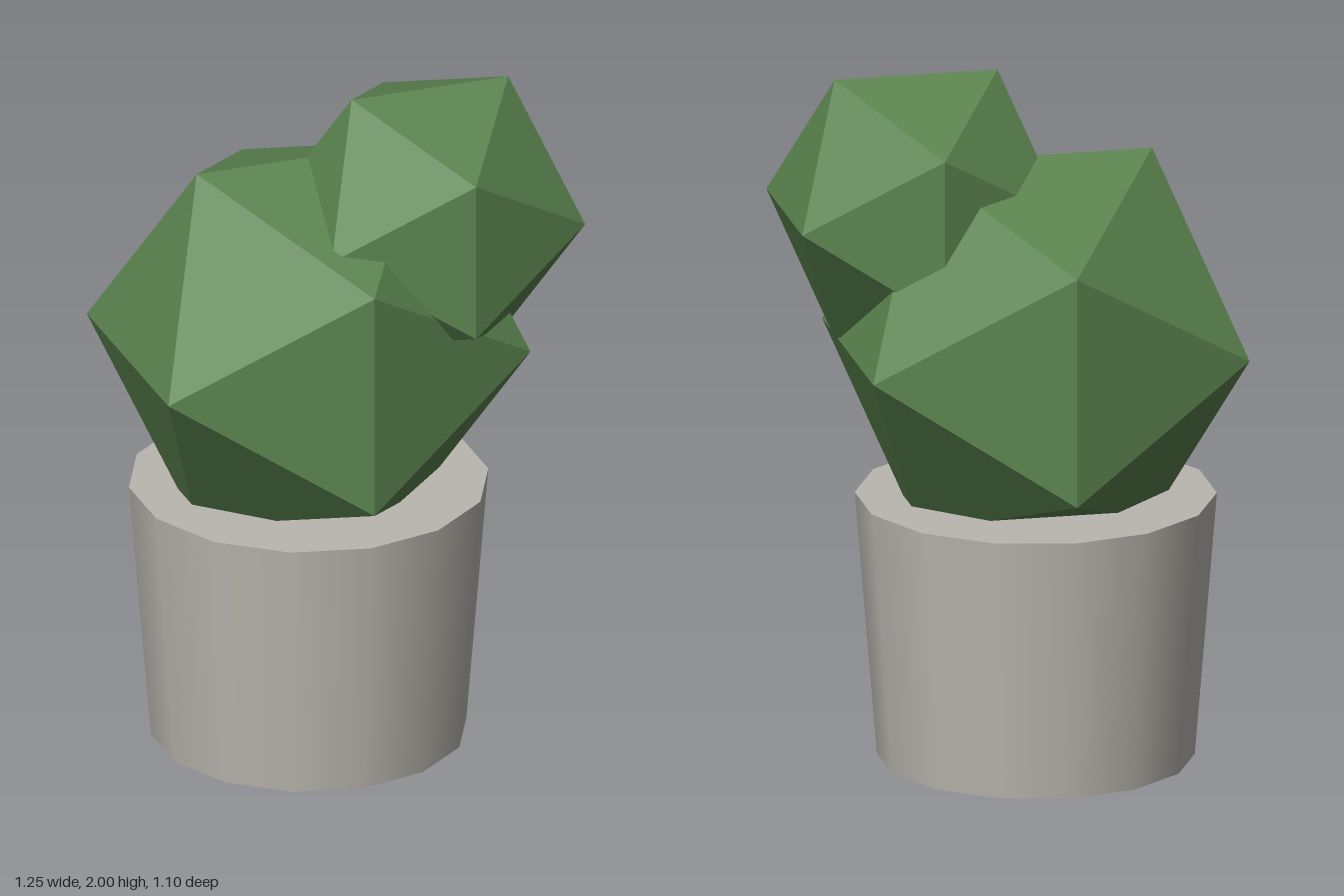
import * as THREE from 'three';

const plantGreen = new THREE.MeshStandardMaterial({ name: 'plantGreen', color: 0x5a834e });
const potGrey = new THREE.MeshStandardMaterial({ name: 'potGrey', color: 0xbab6af });

function addPart(group, name, geometry, material, x, y, z) {
  const mesh = new THREE.Mesh(geometry, material);
  mesh.name = name;
  mesh.position.set(x, y, z);
  group.add(mesh);
}

export function createModel() {
  const model = new THREE.Group();
  model.name = 'pottedPlant';

  // Tapered pot, closed at the top by the soil-level cap
  const potHeight = 0.776;
  addPart(model, 'pot', new THREE.CylinderGeometry(0.515, 0.452, potHeight, 14), potGrey, -0.08, potHeight / 2, 0);

  // Faceted plant: a large body with a smaller offshoot
  addPart(model, 'plantBody', new THREE.IcosahedronGeometry(0.644, 0), plantGreen, -0.08, 1.23, 0);
  addPart(model, 'plantOffshoot', new THREE.IcosahedronGeometry(0.451, 0), plantGreen, 0.24, 1.616, 0.129);

  return model;
}
